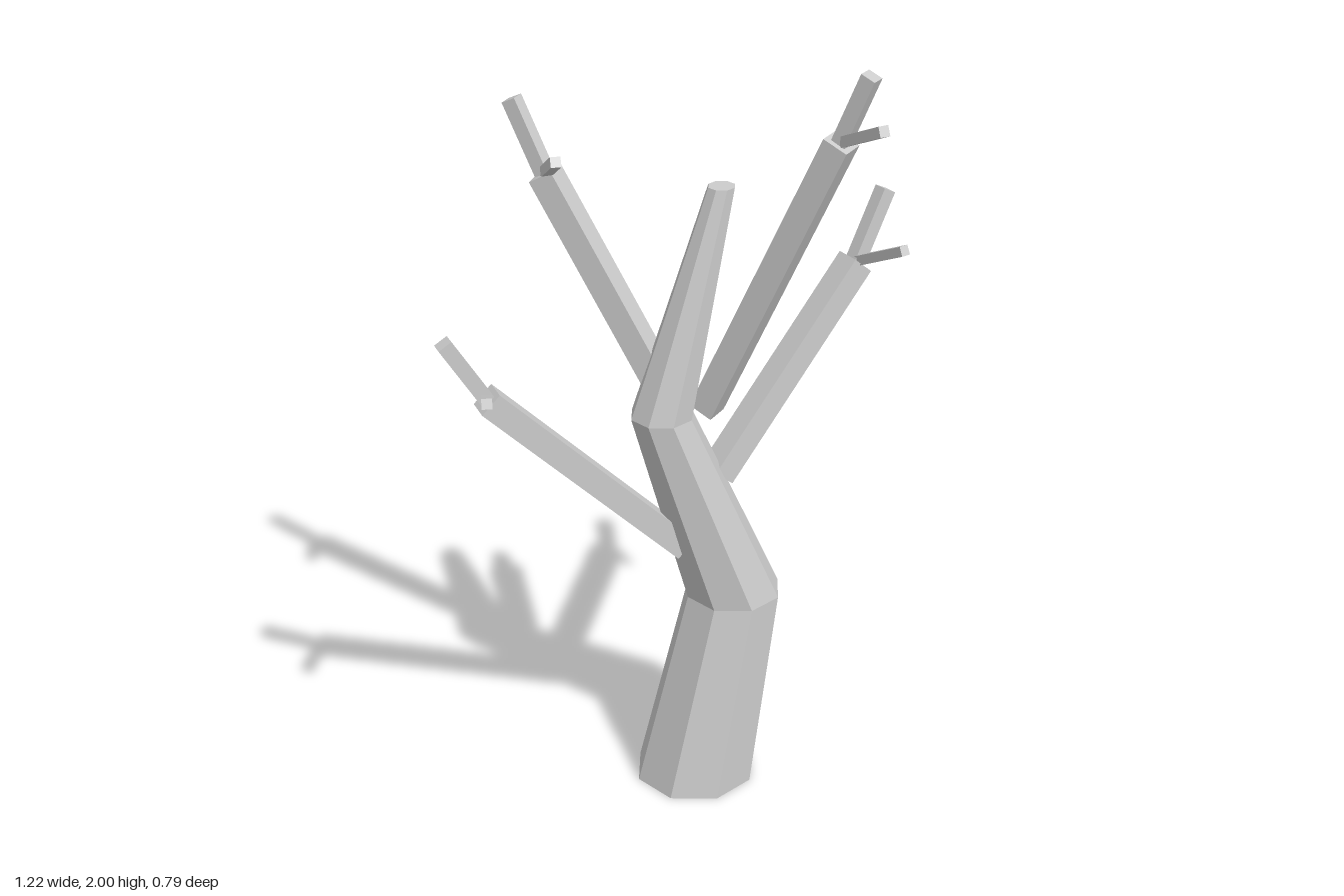
import * as THREE from 'three';

const bark = new THREE.MeshStandardMaterial({ color: 0xcccccc, flatShading: true });
bark.name = 'bark grey';

// Square limb running from one point to another, with its width kept level
function limb(name, from, to, width, thickness = width) {
  const a = new THREE.Vector3(...from), b = new THREE.Vector3(...to);
  const mesh = new THREE.Mesh(new THREE.BoxGeometry(width, thickness, a.distanceTo(b)), bark);
  mesh.name = name;
  mesh.position.copy(a).add(b).multiplyScalar(0.5);
  mesh.lookAt(b);
  return mesh;
}

// Crooked eight-sided trunk: a cylinder whose rings are shifted and narrowed
function trunk() {
  // centre x, height, radius of each ring from the ground up
  const rings = [[0.033, 0, 0.158], [0.14, 0.53, 0.125], [-0.053, 1.065, 0.08], [0.102, 1.64, 0.034]];
  const geometry = new THREE.CylinderGeometry(1, 1, 3, 8, 3);
  const p = geometry.attributes.position;
  for (let i = 0; i < p.count; i++) {
    const [x, y, r] = rings[Math.round(p.getY(i) + 1.5)];
    p.setXYZ(i, x + p.getX(i) * r, y, -0.085 + p.getZ(i) * r);
  }
  const flat = geometry.toNonIndexed();
  flat.computeVertexNormals();
  const mesh = new THREE.Mesh(flat, bark);
  mesh.name = 'trunk';
  return mesh;
}

export function createModel() {
  const model = new THREE.Group();
  model.name = 'bareTree';
  model.add(trunk());

  // Each branch ends in a thicker twig going up and a thin twig going forward
  const branches = [
    { name: 'lowRightBranch', base: [0.0, 0.69, -0.088], tip: [-0.495, 1.185, -0.088],
      upTwig: [-0.595, 1.348, -0.088], sideTwig: [-0.547, 1.265, 0.09] },
    { name: 'lowLeftBranch', base: [0.1, 0.865, -0.1], tip: [0.503, 1.35, -0.175],
      upTwig: [0.588, 1.525, -0.193], sideTwig: [0.55, 1.438, 0.0] },
    { name: 'highFrontBranch', base: [0.053, 1.08, -0.055], tip: [0.27, 1.825, 0.21],
      upTwig: [0.312, 1.992, 0.267], sideTwig: [0.288, 1.907, 0.386] },
    { name: 'highBackBranch', base: [-0.025, 1.1, -0.122], tip: [-0.262, 1.645, -0.31],
      upTwig: [-0.32, 1.82, -0.368], sideTwig: [-0.288, 1.732, -0.145] },
  ];
  for (const { name, base, tip, upTwig, sideTwig } of branches) {
    const group = new THREE.Group();
    group.name = name;
    group.add(
      limb('branch', base, tip, 0.068, 0.064),
      limb('upTwig', tip, upTwig, 0.037),
      limb('sideTwig', tip, sideTwig, 0.025),
    );
    model.add(group);
  }
  return model;
}
